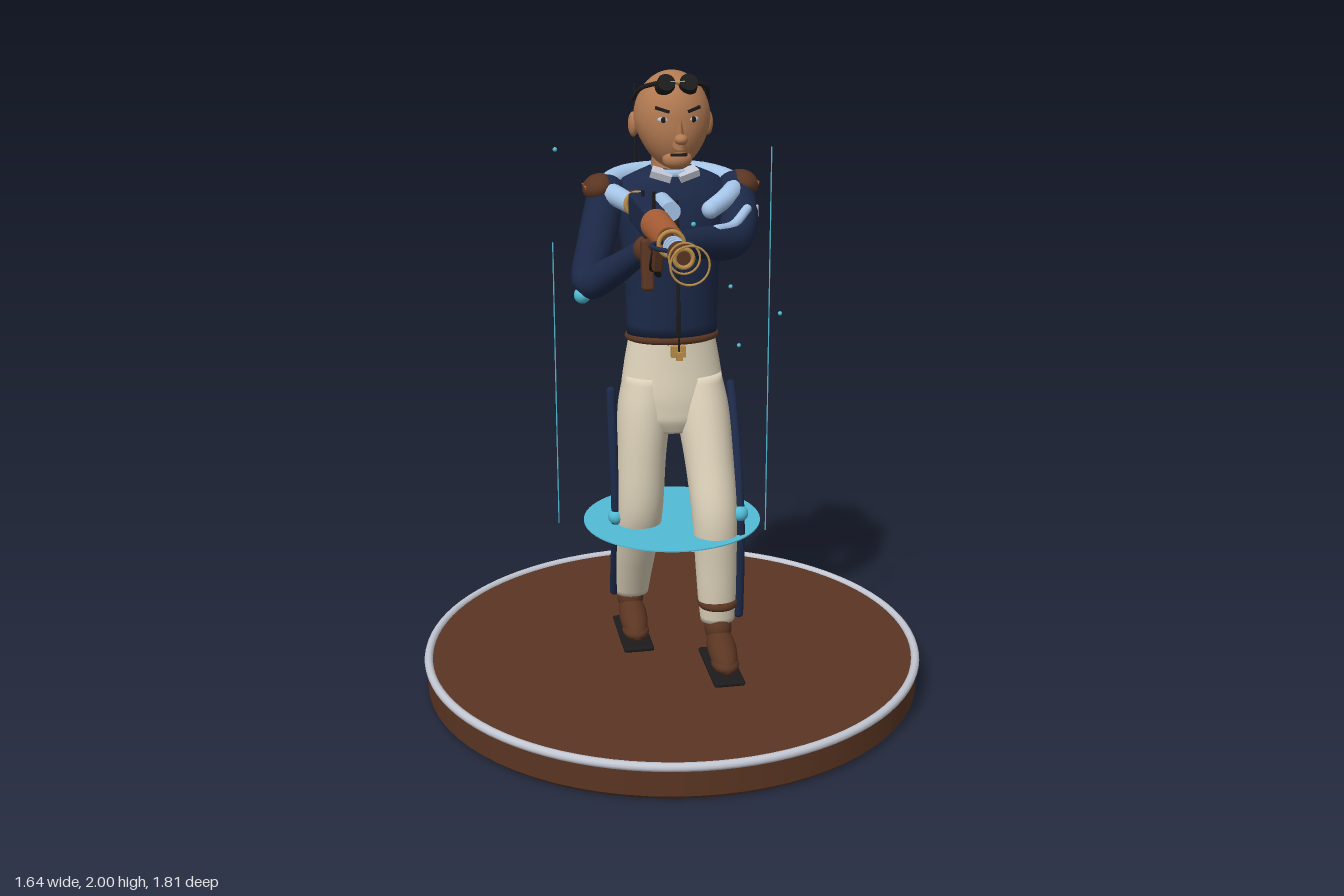
import * as THREE from 'three';
import { RoundedBoxGeometry } from 'three/addons/geometries/RoundedBoxGeometry.js';

const paint = (name, color) => Object.assign(new THREE.MeshStandardMaterial({ color }), { name });
const V = (p) => new THREE.Vector3(...p);

export function createModel() {
  const model = new THREE.Group();
  const brown = paint('leather brown', 0x5a3522), skin = paint('skin tan', 0xb27a52);
  const navy = paint('navy cloth', 0x1c2948), cream = paint('cream cloth', 0xddd2ba);
  const sky = paint('light blue', 0xa4c3e6), cyan = paint('cyan glow', 0x52bcd6);
  const black = paint('black', 0x1d1b1c), gold = paint('brass', 0xb98d4a);
  const copper = paint('copper', 0xa65c34), silver = paint('silver', 0xc3c7d2);
  cyan.side = THREE.DoubleSide;

  const add = (name, geo, mat, pos = [0, 0, 0], rot = [0, 0, 0], scale = [1, 1, 1]) => {
    const m = new THREE.Mesh(geo, mat);
    m.name = name;
    m.position.set(...pos); m.rotation.set(...rot); m.scale.set(...scale);
    model.add(m);
    return m;
  };
  const ball = (name, mat, pos, s, rot) =>
    add(name, new THREE.SphereGeometry(1, 24, 16), mat, pos, rot, Array.isArray(s) ? s : [s, s, s]);
  const box = (name, mat, pos, size, rot, r = 0) =>
    add(name, r ? new RoundedBoxGeometry(...size, 3, r) : new THREE.BoxGeometry(...size), mat, pos, rot);
  // cylinder lying along z
  const rod = (name, mat, x, y, z0, z1, r, r1 = r) =>
    add(name, new THREE.CylinderGeometry(r1, r, z1 - z0, 20), mat, [x, y, (z0 + z1) / 2], [Math.PI / 2, 0, 0]);
  const post = (name, mat, x, z, y0, y1, r) =>
    add(name, new THREE.CylinderGeometry(r, r, y1 - y0, 8), mat, [x, (y0 + y1) / 2, z]);
  const ring = (name, mat, pos, r, t, rot, scale) =>
    add(name, new THREE.TorusGeometry(r, t, 8, 32), mat, pos, rot, scale);

  // tapered tube with rounded ends
  const limb = (name, mat, pts, radii, capped = true) => {
    const curve = new THREE.CatmullRomCurve3(pts.map(V)), seg = 28, sides = 16;
    const geo = new THREE.TubeGeometry(curve, seg, 1, sides), p = geo.attributes.position, v = new THREE.Vector3();
    for (let i = 0; i <= seg; i++) {
      const c = curve.getPointAt(i / seg), f = (i / seg) * (radii.length - 1);
      const k = Math.min(Math.floor(f), radii.length - 2);
      const r = THREE.MathUtils.lerp(radii[k], radii[k + 1], f - k);
      for (let j = 0; j <= sides; j++) {
        const n = i * (sides + 1) + j;
        v.fromBufferAttribute(p, n).sub(c).multiplyScalar(r).add(c);
        p.setXYZ(n, v.x, v.y, v.z);
      }
    }
    add(name, geo, mat);
    if (capped) [0, pts.length - 1].forEach((e, i) => ball(name + 'End', mat, pts[e], radii[i ? radii.length - 1 : 0]));
  };

  // smooth stack of horizontal ellipses, rows top to bottom: [y, x, z, rx, rz]
  const stack = (name, mat, rows) => {
    const mid = new THREE.CatmullRomCurve3(rows.map(r => V([r[1], r[0], r[2]])));
    const rad = new THREE.CatmullRomCurve3(rows.map(r => V([r[3], 0, r[4]])));
    const n = 32, h = (rows.length - 1) * 5, pos = [], idx = [];
    for (let i = 0; i <= h + 2; i++) {
      const t = THREE.MathUtils.clamp((i - 1) / h, 0, 1), c = mid.getPoint(t), r = rad.getPoint(t);
      const k = i === 0 || i === h + 2 ? 0.001 : 1;
      for (let j = 0; j < n; j++) {
        const a = (j / n) * Math.PI * 2;
        pos.push(c.x + Math.sin(a) * r.x * k, c.y, c.z + Math.cos(a) * r.z * k);
        if (i <= h + 1) {
          const a0 = i * n + j, b0 = i * n + (j + 1) % n;
          idx.push(a0, a0 + n, b0, b0, a0 + n, b0 + n);
        }
      }
    }
    const g = new THREE.BufferGeometry();
    g.setAttribute('position', new THREE.Float32BufferAttribute(pos, 3));
    g.setIndex(idx);
    g.computeVertexNormals();
    return add(name, g, mat);
  };

  // display base and floating disc
  const base = [[0, 0], [0.795, 0], [0.81, 0.015], [0.81, 0.095], [0.8, 0.11], [0, 0.11]].map(p => new THREE.Vector2(...p));
  base.slice(0, -1).forEach((p, i) =>
    add('base', new THREE.LatheGeometry([p, base[i + 1]], 72), brown, [0, 0, -0.083]));
  ring('baseTrim', silver, [0, 0.108, -0.083], 0.805, 0.014, [Math.PI / 2, 0, 0]).geometry = new THREE.TorusGeometry(0.805, 0.014, 10, 96);
  add('glowDisc', new THREE.CylinderGeometry(0.287, 0.287, 0.004, 64), cyan, [0, 0.56, -0.083]);

  // light streaks and sparks
  [[-0.38, 0.02, 0.61, 1.51], [0.24, 0.22, 0.62, 1.81], [0.14, -0.435, 0.61, 1.21]].forEach(([x, z, a, b]) =>
    post('lightStreak', cyan, x, z, a, b, 0.002));
  [[0.29, 1.04, -0.41], [0.06, 0.735, -0.54], [0.365, 1.215, -0.145], [-0.355, 1.77, -0.095],
    [0.22, 1.29, -0.23], [0.07, 1.0, -0.42], [0.02, 1.58, 0.17]].forEach(p => ball('spark', cyan, p, 0.007));

  // trousers
  stack('hips', cream, [[1.19, 0, -0.083, 0.135, 0.092], [1.1, 0, -0.082, 0.152, 0.1],
    [1.0, 0, -0.075, 0.165, 0.105], [0.93, 0, -0.07, 0.155, 0.1], [0.88, 0, -0.06, 0.09, 0.07]]);
  stack('leftLeg', cream, [[1.06, 0.08, -0.075, 0.075, 0.09], [0.95, 0.09, -0.045, 0.085, 0.1], [0.8, 0.102, 0.01, 0.078, 0.09],
    [0.63, 0.11, 0.07, 0.073, 0.073], [0.45, 0.117, 0.07, 0.067, 0.064], [0.34, 0.12, 0.07, 0.062, 0.055], [0.26, 0.122, 0.07, 0.055, 0.045]]);
  stack('rightLeg', cream, [[1.06, -0.08, -0.08, 0.075, 0.09], [0.95, -0.09, -0.075, 0.085, 0.1], [0.8, -0.102, -0.06, 0.078, 0.088],
    [0.6, -0.11, -0.055, 0.073, 0.07], [0.45, -0.115, -0.115, 0.068, 0.064], [0.34, -0.118, -0.165, 0.062, 0.057], [0.26, -0.118, -0.195, 0.055, 0.047]]);
  box('thighFlap', cream, [0.1, 0.81, -0.085], [0.012, 0.12, 0.06], [0.3, 0, 0]);

  // side stripes, knee lights, anklets and shoes
  limb('leftStripe', navy, [[0.195, 1.0, -0.1], [0.195, 0.87, -0.025], [0.19, 0.735, 0.05], [0.188, 0.62, 0.092], [0.19, 0.45, 0.09], [0.19, 0.28, 0.08]], [0.015, 0.015]);
  limb('rightStripe', navy, [[-0.195, 1.0, -0.09], [-0.193, 0.8, -0.06], [-0.188, 0.6, -0.055], [-0.183, 0.45, -0.115], [-0.178, 0.27, -0.19]], [0.015, 0.015]);
  ball('leftKneeLight', cyan, [0.188, 0.63, 0.092], 0.026);
  ball('rightKneeLight', cyan, [-0.188, 0.59, -0.055], 0.026);
  ring('leftAnklet', brown, [0.122, 0.322, 0.072], 0.052, 0.014, [Math.PI / 2, 0, 0]);
  ball('rightAnklet', brown, [-0.118, 0.322, -0.225], [0.05, 0.02, 0.052]);
  [[0.122, 0.07], [-0.12, -0.225]].forEach(([x, z]) => {
    ball('shoeAnkle', brown, [x, 0.235, z + 0.01], [0.044, 0.05, 0.052]);
    ball('shoe', brown, [x, 0.19, z + 0.075], [0.046, 0.043, 0.115], [0.32, 0, 0]);
    ball('shoeToe', brown, [x, 0.163, z + 0.125], [0.044, 0.028, 0.06]);
    box('sole', black, [x, 0.125, z + 0.07], [0.1, 0.016, 0.27], [0, 0, 0], 0.007);
  });

  // jacket, belt and collar
  stack('jacket', navy, [[1.71, 0, -0.1, 0.07, 0.06], [1.675, 0, -0.1, 0.15, 0.085], [1.62, 0, -0.095, 0.185, 0.105], [1.5, 0, -0.083, 0.162, 0.113],
    [1.36, 0, -0.083, 0.147, 0.105], [1.19, 0, -0.083, 0.143, 0.095]]);
  ring('belt', brown, [0, 1.182, -0.083], 0.139, 0.011, [Math.PI / 2, 0, 0], [1, 0.7, 1]);
  box('buckle', gold, [0, 1.155, 0.03], [0.045, 0.035, 0.02]);
  limb('zip', black, [[0, 1.62, 0.012], [0, 1.5, 0.032], [0, 1.36, 0.024], [0, 1.2, 0.014]], [0.004, 0.004]);
  limb('chain', black, [[0, 1.4, 0.03], [0, 1.3, 0.05], [0, 1.16, 0.045]], [0.003, 0.003]);
  box('pendant', gold, [0, 1.145, 0.055], [0.02, 0.025, 0.012]);
  add('neck', new THREE.CylinderGeometry(0.057, 0.062, 0.12, 24), skin, [0, 1.73, -0.1]);
  [-1, 1].forEach(s => box('collarFlap', silver, [s * 0.04, 1.695, -0.035], [0.065, 0.022, 0.04], [0.3, s * 0.3, s * 0.2]));
  ring('collar', sky, [0, 1.695, -0.1], 0.065, 0.014, [Math.PI / 2, 0, 0]);
  limb('scarf', sky, [[0.1, 1.595, 0.03], [0.17, 1.63, -0.02], [0.2, 1.645, -0.11], [0.13, 1.665, -0.2], [0, 1.67, -0.235],
    [-0.13, 1.665, -0.2], [-0.2, 1.645, -0.11], [-0.17, 1.63, -0.02], [-0.1, 1.595, 0.03]], [0.028, 0.036, 0.036, 0.036, 0.028]);
  [-1, 1].forEach(s => {
    ball('shoulderPad', brown, [s * 0.225, 1.652, -0.095], [0.05, 0.04, 0.066], [0, 0, -s * 0.35]);
    box('padBand', copper, [s * 0.266, 1.655, -0.095], [0.008, 0.012, 0.065], [0, 0, -s * 0.35]);
  });

  // arms
  limb('rightArm', navy, [[-0.2, 1.63, -0.09], [-0.24, 1.5, -0.04], [-0.272, 1.385, 0.02], [-0.21, 1.43, 0.09], [-0.14, 1.5, 0.17]], [0.06, 0.058, 0.053, 0.046, 0.035]);
  limb('leftArm', navy, [[0.2, 1.63, -0.09], [0.195, 1.56, 0.0], [0.155, 1.515, 0.09], [0.04, 1.53, 0.2], [-0.07, 1.55, 0.3]], [0.06, 0.058, 0.055, 0.046, 0.034]);
  ball('elbowLight', cyan, [-0.293, 1.343, 0.015], 0.026);
  limb('sleeveBand', sky, [[0.21, 1.595, 0.04], [0.15, 1.56, 0.115], [0.09, 1.56, 0.17]], [0.014, 0.016]);
  box('armPatch', silver, [0.25, 1.58, -0.02], [0.008, 0.035, 0.045]);
  ball('leftHand', brown, [-0.1, 1.56, 0.325], [0.042, 0.032, 0.04]);
  ball('rightHand', brown, [-0.128, 1.515, 0.19], [0.035, 0.04, 0.035]);

  // head: the lower half narrows and pushes forward into a jaw
  const head = new THREE.SphereGeometry(1, 40, 32), hp = head.attributes.position;
  for (let i = 0; i < hp.count; i++) {
    const x = hp.getX(i), y = hp.getY(i), z = hp.getZ(i), low = Math.max(0, -y);
    hp.setXYZ(i, x * 0.117 * (1 - 0.2 * low), y * 0.145, z * 0.126 * (1 - 0.12 * low) + 0.035 * low);
  }
  head.computeVertexNormals();
  add('head', head, skin, [0, 1.857, -0.08]);
  ball('chin', skin, [0, 1.748, 0.01], [0.045, 0.032, 0.035]);
  add('nose', new THREE.ConeGeometry(0.026, 0.09, 12), skin, [0, 1.835, 0.06], [0.35, 0, 0], [0.8, 1, 1.2]);
  ball('noseTip', skin, [0, 1.815, 0.077], [0.02, 0.016, 0.022]);
  box('mouth', black, [0, 1.765, 0.044], [0.05, 0.008, 0.008]);
  [-1, 1].forEach(s => {
    ball('ear', skin, [s * 0.115, 1.84, -0.1], [0.016, 0.038, 0.027]);
    ball('eye', silver, [s * 0.045, 1.868, 0.029], [0.019, 0.01, 0.009], [0, s * 0.4, 0]);
    ball('pupil', black, [s * 0.045, 1.868, 0.035], [0.008, 0.009, 0.006]);
    box('eyebrow', black, [s * 0.047, 1.897, 0.028], [0.045, 0.009, 0.009], [0, s * 0.45, s * 0.25]);
    // goggles pushed up on the forehead
    add('goggleCup', new THREE.CylinderGeometry(0.027, 0.03, 0.035, 20), black, [s * 0.034, 1.967, 0.006], [1.0, 0, 0]);
    limb('goggleStrap', black, [[s * 0.055, 1.972, -0.005], [s * 0.098, 1.955, -0.04], [s * 0.117, 1.915, -0.1]], [0.007, 0.006]);
  });
  limb('goggleBridge', gold, [[-0.02, 1.975, 0.015], [0.02, 1.975, 0.015]], [0.006, 0.006]);
  limb('ponytail', skin, [[0, 1.91, -0.185], [0, 1.885, -0.225], [0, 1.81, -0.243], [0, 1.74, -0.23], [0, 1.69, -0.21]], [0.02, 0.025, 0.024, 0.012]);

  // backpack and antenna
  box('backpack', brown, [0.008, 1.435, -0.258], [0.265, 0.27, 0.13], [0, 0, 0], 0.02);
  box('packTrim', gold, [0.008, 1.485, -0.325], [0.17, 0.012, 0.008]);
  post('antenna', black, -0.08, -0.29, 1.55, 1.94, 0.005);
  box('packTube', navy, [0.01, 1.275, -0.205], [0.035, 0.1, 0.03]);
  ball('packLight', cyan, [0.01, 1.225, -0.212], 0.022);

  // rifle
  const gx = -0.13, gy = 1.625;
  box('receiver', navy, [gx, gy, 0.23], [0.065, 0.085, 0.28], [0, 0, 0], 0.012);
  rod('stock', brown, gx, gy - 0.005, -0.07, 0.1, 0.03, 0.026);
  ring('stockRing', gold, [gx, gy, 0.06], 0.033, 0.008);
  rod('gasTank', sky, -0.07, 1.645, 0.14, 0.3, 0.028);
  rod('barrel', brown, gx, gy, 0.36, 0.76, 0.026, 0.016);
  for (let i = 0; i < 11; i++) ring('coil', copper, [gx, gy + 0.005, 0.4 + i * 0.02], 0.037 - i * 0.0005, 0.007);
  ring('coilEnd', gold, [gx, gy, 0.64], 0.034, 0.006);
  rod('muzzle', brown, gx, gy, 0.745, 0.82, 0.03);
  ring('muzzleRim', gold, [gx, gy, 0.82], 0.024, 0.006);
  rod('underRail', cyan, gx, 1.592, 0.35, 0.62, 0.008);
  [-1, 1].forEach(s => limb('cageWire', navy, [[gx, gy, 0.6], [gx + s * 0.05, gy, 0.64], [gx + s * 0.05, gy, 0.69], [gx, gy, 0.745]], [0.006, 0.006]));
  for (let i = 0; i < 3; i++) ring('barrelBand', sky, [gx, gy, 0.67 + i * 0.025], 0.024, 0.004);
  ring('focusRing', gold, [gx, gy + 0.002, 0.83], 0.04, 0.003);
  ring('focusRing', gold, [gx, gy, 0.905], 0.05, 0.003);
  box('grip', brown, [gx, 1.48, 0.24], [0.035, 0.15, 0.045], [-0.15, 0, 0], 0.01);
  box('foregrip', brown, [gx, 1.55, 0.43], [0.03, 0.1, 0.03], [0.35, 0, 0], 0.008);
  limb('hose', black, [[gx, 1.58, 0.4], [gx, 1.5, 0.33], [-0.1, 1.45, 0.18], [-0.06, 1.4, 0.03]], [0.009, 0.009]);
  post('rearSight', black, gx, 0.17, 1.66, 1.685, 0.005);
  post('frontSight', black, gx, 0.36, 1.65, 1.715, 0.005);
  return model;
}
